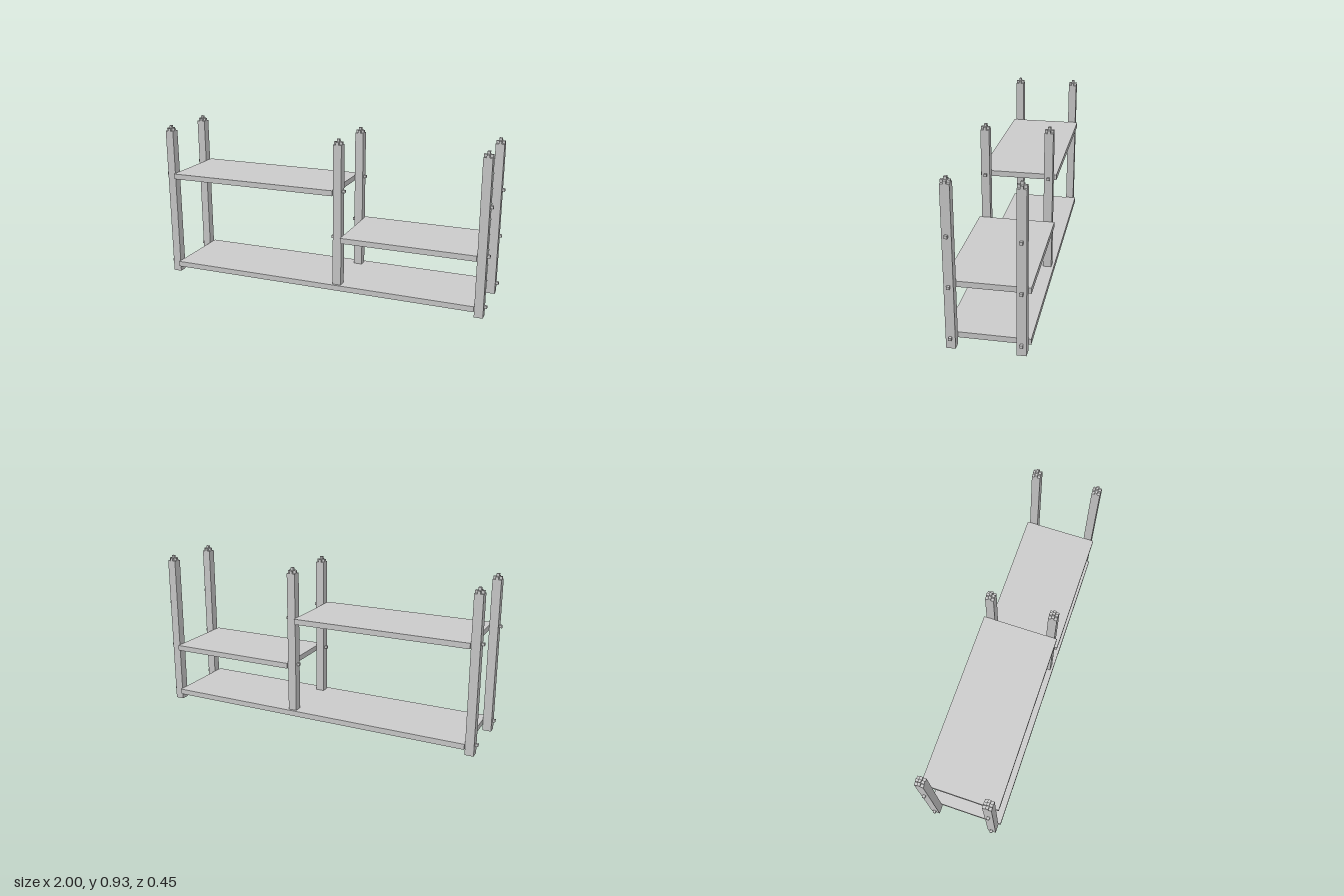
import * as THREE from 'three';

const material = new THREE.MeshStandardMaterial({ color: 0xcccccc, flatShading: true });

const POST = 0.05, UNIT = 0.016;   // post width, peg size
const POST_Z = 0.183, POST_X = 0.959, MID_X = 0.127;
const BODY_TOP = 0.899;
const SHELF_H = 0.032, SHELF_D = 0.446;
const LOW = 0.037, MIDDLE = 0.331, HIGH = 0.607; // shelf undersides

function box(name, w, h, d, x, y, z) {
  const mesh = new THREE.Mesh(new THREE.BoxGeometry(w, h, d), material);
  mesh.name = name;
  mesh.position.set(x, y, z);
  return mesh;
}

// Plus-shaped slab: a square with its four corners notched away
function crossGeometry() {
  const a = POST / 2, b = UNIT / 2;
  const corners = [[a, -b], [a, b], [b, b], [b, a], [-b, a], [-b, b],
    [-a, b], [-a, -b], [-b, -b], [-b, -a], [b, -a], [b, -b]];
  const shape = new THREE.Shape(corners.map(([x, y]) => new THREE.Vector2(x, y)));
  return new THREE.ExtrudeGeometry(shape, { depth: UNIT, bevelEnabled: false }).rotateX(-Math.PI / 2);
}

// Post with a stepped finial; pegs is a list of [side, shelf underside]
function post(name, x, z, bottom, pegs) {
  const group = new THREE.Group();
  group.name = name;
  group.position.set(x, 0, z);
  group.add(box('postBody', POST, BODY_TOP - bottom, POST, 0, (BODY_TOP + bottom) / 2, 0));
  const cross = new THREE.Mesh(crossGeometry(), material);
  cross.name = 'finialCross';
  cross.position.y = BODY_TOP;
  group.add(cross);
  group.add(box('finialTip', UNIT, UNIT, UNIT, 0, BODY_TOP + UNIT * 1.5, 0));
  for (const [side, shelf] of pegs) {
    group.add(box('peg', UNIT, UNIT, UNIT, side * (POST + UNIT) / 2, shelf + SHELF_H - UNIT / 2, 0));
  }
  return group;
}

// Shelf board spanning between two x positions
function shelf(name, x0, x1, y) {
  return box(name, x1 - x0, SHELF_H, SHELF_D, (x0 + x1) / 2, y + SHELF_H / 2, 0);
}

export function createModel() {
  const model = new THREE.Group();
  model.name = 'shelfUnit';
  const half = POST / 2, inner = POST_X - half;

  // Shelves fit between the faces of the posts
  model.add(shelf('bottomShelf', -inner, inner, LOW));
  model.add(shelf('middleShelf', MID_X + half, inner, MIDDLE));
  model.add(shelf('upperShelf', -inner, MID_X - half, HIGH));

  // Front and back rows of posts; the middle ones stand on the bottom shelf
  for (const [row, z] of [['front', POST_Z], ['back', -POST_Z]]) {
    model.add(post(row + 'RightPost', -POST_X, z, 0, [[-1, LOW], [-1, HIGH]]));
    model.add(post(row + 'MiddlePost', MID_X, z, LOW + SHELF_H, [[-1, MIDDLE], [1, HIGH]]));
    model.add(post(row + 'LeftPost', POST_X, z, 0, [[1, LOW], [1, MIDDLE], [1, HIGH]]));
  }
  return model;
}
